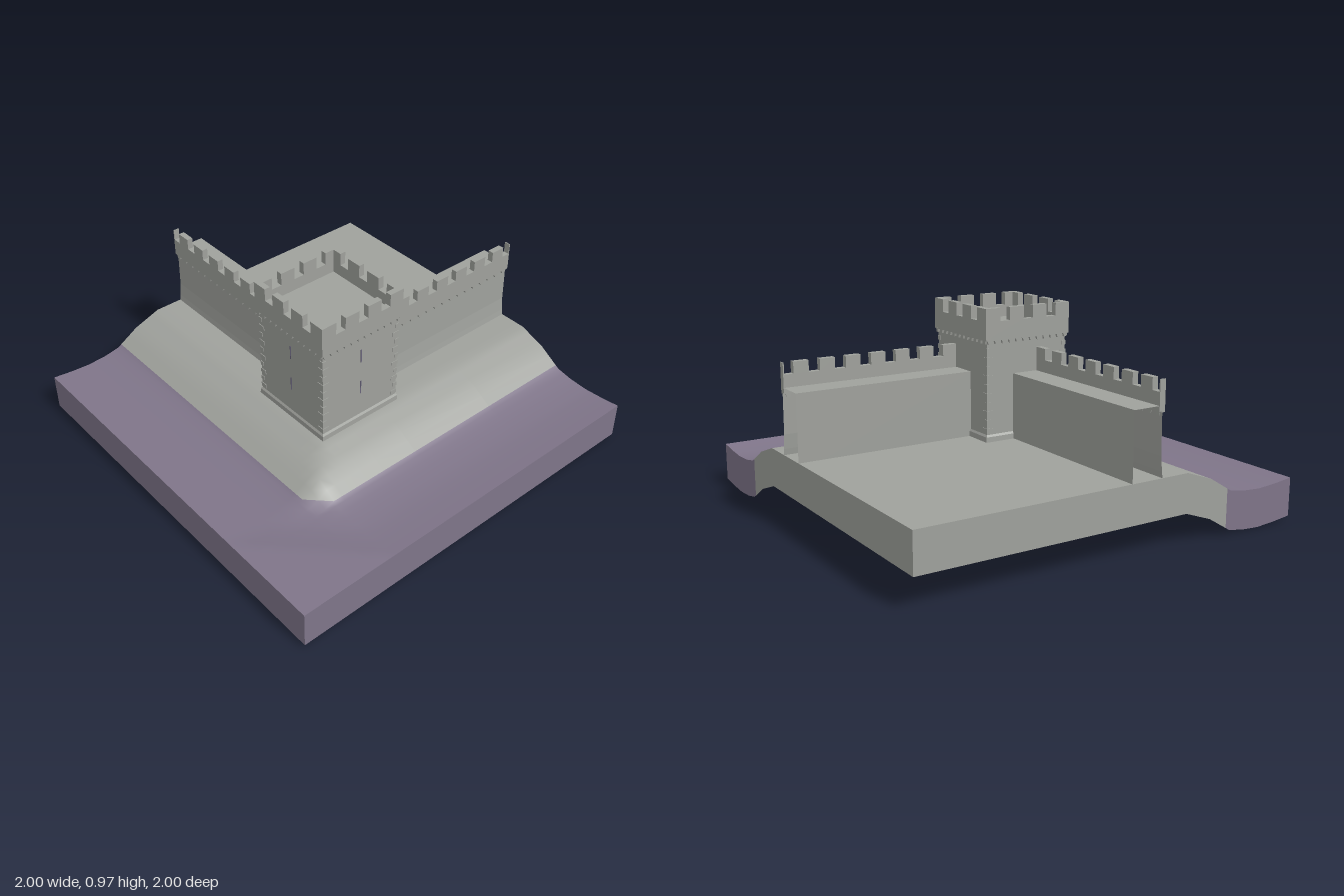
import * as THREE from 'three';

const stone = new THREE.MeshStandardMaterial({ color: 0x9fa19c, side: THREE.DoubleSide });
stone.name = 'grey stone';
const water = new THREE.MeshStandardMaterial({ color: 0x7f7589, side: THREE.DoubleSide });
water.name = 'moat purple';
const shade = new THREE.MeshStandardMaterial({ color: 0x68637a });
shade.name = 'slit shadow';

function add(parent, name, geometry, material, x = 0, y = 0, z = 0) {
  const mesh = new THREE.Mesh(geometry, material);
  mesh.name = name;
  mesh.position.set(x, y, z);
  parent.add(mesh);
  return mesh;
}

// ground profile: distance out from the plateau -> height
const PROFILE = [[0.36, 0.33], [0.5, 0.28], [0.62, 0.207], [0.7, 0.192], [0.8, 0.186], [0.9, 0.193], [1, 0.205]];
const reach = (x, z) => Math.max(-x, z, z - x - 0.5);
function height(x, z) {
  const p = reach(x, z);
  if (p <= PROFILE[0][0]) return PROFILE[0][1];
  for (let i = 1; i < PROFILE.length; i++) {
    const [p0, h0] = PROFILE[i - 1], [p1, h1] = PROFILE[i];
    if (p <= p1) return h0 + (h1 - h0) * (p - p0) / (p1 - p0);
  }
  return 0.205;
}

// triangles sorted into a stone group and a moat group
function groundGeometry(positions, triangles) {
  const geometry = new THREE.BufferGeometry();
  geometry.setAttribute('position', new THREE.Float32BufferAttribute(positions, 3));
  const lists = [[], []];
  for (const t of triangles) {
    const cx = (positions[t[0] * 3] + positions[t[1] * 3] + positions[t[2] * 3]) / 3;
    const cz = (positions[t[0] * 3 + 2] + positions[t[1] * 3 + 2] + positions[t[2] * 3 + 2]) / 3;
    lists[reach(cx, cz) > 0.6 ? 1 : 0].push(...t);
  }
  geometry.setIndex([...lists[0], ...lists[1]]);
  geometry.addGroup(0, lists[0].length, 0);
  geometry.addGroup(lists[0].length, lists[1].length, 1);
  geometry.computeVertexNormals();
  return geometry;
}

function buildGround(group) {
  const knots = [-1, -0.5, 0, 0.2, 0.3, 0.36, 0.4, 0.45, 0.5, 0.55, 0.6, 0.62, 0.66, 0.7, 0.75, 0.8, 0.85, 0.9, 0.95, 1];
  const n = knots.length;
  const pos = [], tris = [];
  for (const z of knots) for (const k of knots) pos.push(-k, height(-k, z), z);
  for (let j = 0; j < n - 1; j++) {
    for (let i = 0; i < n - 1; i++) {
      const a = j * n + i, b = a + 1, c = a + n, d = c + 1;
      tris.push([a, b, c], [b, d, c]);
    }
  }
  // winding faces up
  tris.forEach((t) => t.reverse());
  tris.forEach((t) => {
    const [p, q, r] = t.map((v) => new THREE.Vector3().fromArray(pos, v * 3));
    if (q.sub(p).cross(r.sub(p)).y < 0) t.reverse();
  });
  add(group, 'groundSurface', groundGeometry(pos, tris), [stone, water]);

  // edge skirts hanging below the four sides, open underneath
  const sides = [(k) => [-k, 1], (k) => [k, -1], (k) => [-1, -k], (k) => [1, k]];
  const outward = [1, 1, 1, 1];
  sides.forEach((side, s) => {
    const line = [...new Set([...knots, ...knots.map((k) => -k)])].sort((a, b) => a - b);
    const p = [], t = [];
    line.forEach((k, i) => {
      const [x, z] = side(k);
      const y = height(x, z);
      p.push(x, y, z, x, y - 0.186, z);
      if (i) t.push([2 * i - 2, 2 * i - 1, 2 * i], [2 * i, 2 * i - 1, 2 * i + 1]);
    });
    const a = new THREE.Vector3().fromArray(p, 0), b = new THREE.Vector3().fromArray(p, 3), c = new THREE.Vector3().fromArray(p, 6);
    const mid = new THREE.Vector3(...[side(0)[0], 0, side(0)[1]]);
    if (b.sub(a).cross(c.sub(a)).dot(mid) * outward[s] < 0) t.forEach((q) => q.reverse());
    add(group, 'groundEdge', groundGeometry(p, t), [stone, water]);
  });
}

// crenellated strip along x, extruded towards +z
function battlement(x0, x1, base, gapY, top, gaps, depth) {
  const s = new THREE.Shape();
  s.moveTo(x0, base);
  s.lineTo(x0, top);
  for (const [a, b] of gaps) {
    s.lineTo(a, top);
    s.lineTo(a, gapY);
    s.lineTo(b, gapY);
    if (b < x1) s.lineTo(b, top);
  }
  if (gaps[gaps.length - 1][1] < x1) s.lineTo(x1, top);
  s.lineTo(x1, base);
  return new THREE.ExtrudeGeometry(s, { depth, bevelEnabled: false });
}

// row of small tabs under a battlement
function corbels(x0, x1, top, drop, count, depth) {
  const s = new THREE.Shape();
  const step = (x1 - x0) / count;
  s.moveTo(x0, top);
  for (let i = 0; i < count; i++) {
    const x = x0 + i * step;
    s.lineTo(x, top - drop * 0.3);
    s.lineTo(x + step * 0.25, top - drop * 0.4);
    s.lineTo(x + step * 0.35, top - drop);
    s.lineTo(x + step * 0.65, top - drop);
    s.lineTo(x + step * 0.75, top - drop * 0.4);
  }
  s.lineTo(x1, top - drop * 0.3);
  s.lineTo(x1, top);
  return new THREE.ExtrudeGeometry(s, { depth, bevelEnabled: false });
}

// hollow curtain wall running from the tower to the +x edge
function buildWall() {
  const wall = new THREE.Group();
  wall.name = 'curtainWall';
  const x0 = 0.09, x1 = 1;
  const section = [[0.222, 0.28], [0.21, 0.36], [0.203, 0.43], [0.2, 0.65], [0.05, 0.65], [0.05, 0.28]];
  const p = [];
  for (let i = 1; i < section.length; i++) {
    const [za, ya] = section[i - 1], [zb, yb] = section[i];
    p.push(x0, ya, za, x1, ya, za, x1, yb, zb, x0, ya, za, x1, yb, zb, x0, yb, zb);
  }
  const shell = new THREE.BufferGeometry();
  shell.setAttribute('position', new THREE.Float32BufferAttribute(p, 3));
  shell.computeVertexNormals();
  add(wall, 'wallShell', shell, stone);
  const gaps = [];
  for (let i = 0; i < 7; i++) gaps.push([0.17 + 0.13 * i, Math.min(0.225 + 0.13 * i, 0.995)]);
  add(wall, 'wallBattlement', battlement(x0, x1, 0.625, 0.71, 0.765, gaps, 0.03), stone, 0, 0, 0.185);
  add(wall, 'wallCorbels', corbels(x0, x1, 0.628, 0.025, 17, 0.017), stone, 0, 0, 0.197);
  return wall;
}

// open square tube
function tube(topHalf, bottomHalf, y0, y1) {
  const g = new THREE.CylinderGeometry(topHalf * Math.SQRT2, bottomHalf * Math.SQRT2, y1 - y0, 4, 1, true)
    .rotateY(Math.PI / 4).translate(0, (y0 + y1) / 2, 0).toNonIndexed();
  g.computeVertexNormals();
  return g;
}

function buildTower() {
  const tower = new THREE.Group();
  tower.name = 'cornerTower';
  tower.position.set(-0.128, 0, 0.128);
  const half = 0.225, outer = 0.238;
  add(tower, 'towerBody', tube(half, half, 0.28, 0.83), stone);
  add(tower, 'towerPlinth', tube(0.232, 0.235, 0.28, 0.355), stone);
  add(tower, 'plinthBevel', tube(half, 0.232, 0.355, 0.365), stone);
  add(tower, 'towerRoof', new THREE.BoxGeometry(2 * outer - 0.02, 0.02, 2 * outer - 0.02), stone, 0, 0.84, 0);
  const gaps = [-0.132, 0, 0.132].map((c) => [c - 0.027, c + 0.027]);
  for (let i = 0; i < 4; i++) {
    const side = new THREE.Group();
    side.name = 'towerSide';
    side.rotation.y = i * Math.PI / 2;
    tower.add(side);
    add(side, 'towerBattlement', battlement(-outer, outer, 0.825, 0.91, 0.972, gaps, 0.03), stone, 0, 0, outer - 0.03);
    add(side, 'towerCorbels', corbels(-outer, outer, 0.828, 0.025, 12, 0.02), stone, 0, 0, outer - 0.021);
    // alternating corner stones
    for (let k = 0; k < 10; k++) {
      const w = k % 2 ? 0.022 : 0.036;
      add(side, 'cornerStone', new THREE.BoxGeometry(w, 0.021, w), stone,
        half + 0.003 - w / 2, 0.385 + k * 0.043, half + 0.003 - w / 2);
    }
    // arrow slits on the two outward sides
    if (i === 0 || i === 3) {
      for (const y of [0.525, 0.705]) {
        add(side, 'arrowSlit', new THREE.BoxGeometry(0.006, 0.072, 0.004), shade, 0, y, half);
      }
    }
  }
  return tower;
}

export function createModel() {
  const model = new THREE.Group();
  model.name = 'castleCorner';
  buildGround(model);
  model.add(buildTower());
  const frontWall = buildWall();
  const sideWall = buildWall();
  // mirror across the tower's diagonal
  sideWall.rotation.y = Math.PI / 2;
  sideWall.scale.z = -1;
  model.add(frontWall, sideWall);
  return model;
}
